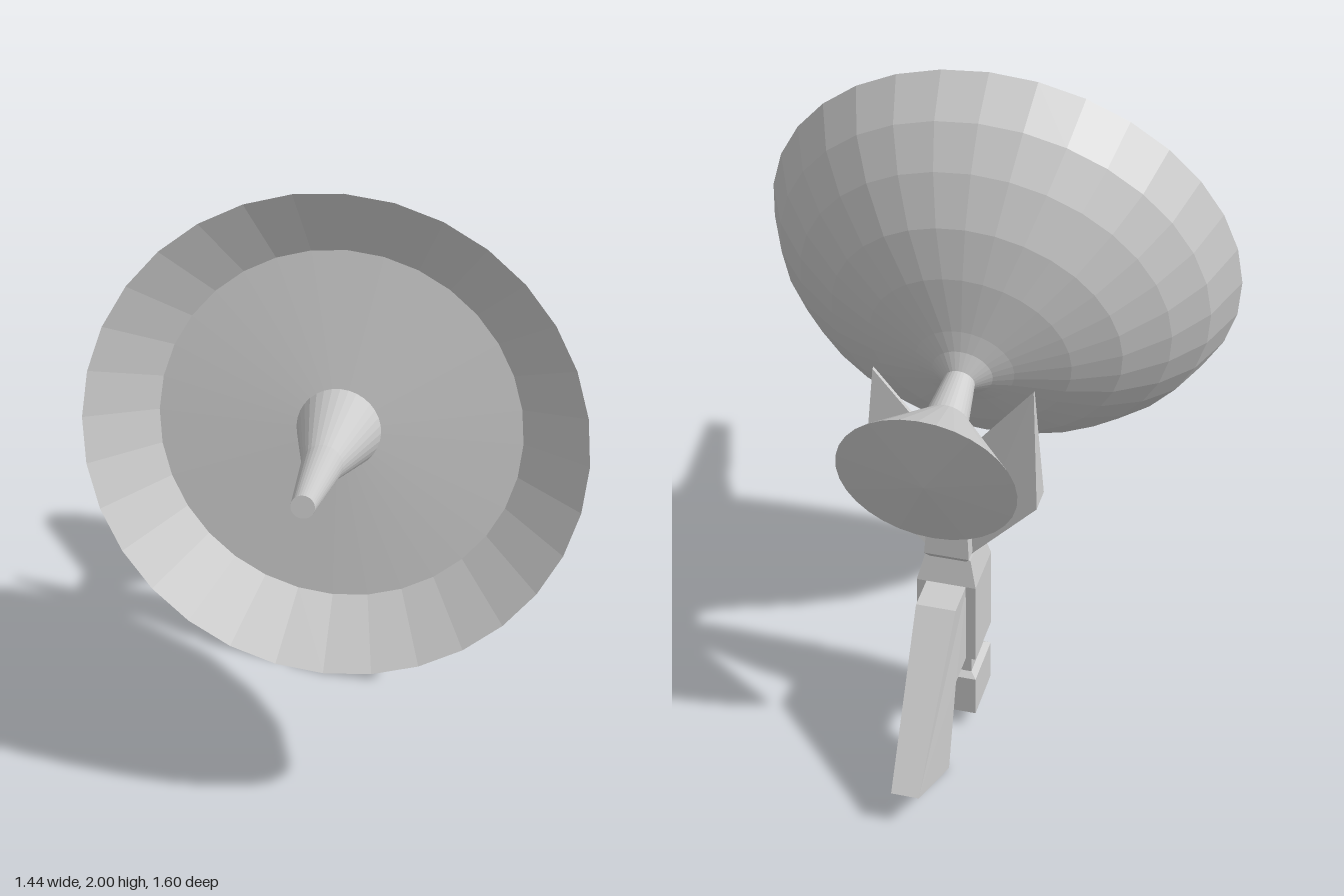
import * as THREE from 'three';

const material = new THREE.MeshStandardMaterial({ color: 0xcccccc, flatShading: true });
const POST_Z = -0.25;

function addMesh(parent, name, geometry) {
  const mesh = new THREE.Mesh(geometry, material);
  mesh.name = name;
  parent.add(mesh);
  return mesh;
}

// Turned part from [radius, height] pairs, listed so that faces point outward
function lathe(profile, sides = 32, phase = 0) {
  return new THREE.LatheGeometry(profile.map(([r, y]) => new THREE.Vector2(r, y)), sides, phase);
}

// Square stack from [half width, height] pairs
function squareStack(profile) {
  return lathe(profile.map(([h, y]) => [h * Math.SQRT2, y]), 4, Math.PI / 4);
}

// Moves every vertex of a geometry by a rule
function reshape(geometry, rule) {
  const p = geometry.attributes.position;
  const v = new THREE.Vector3();
  for (let i = 0; i < p.count; i++) {
    rule(v.fromBufferAttribute(p, i));
    p.setXYZ(i, v.x, v.y, v.z);
  }
  geometry.computeVertexNormals();
  return geometry;
}

// Slanted fork arm: a leaning plate that narrows to a ridge at the top
function armGeometry() {
  return reshape(new THREE.BoxGeometry(1, 1, 1), (v) => {
    const outer = v.x > 0;
    const top = v.y > 0;
    v.x = outer ? (top ? 0.237 : 0.26) : 0.05;
    v.y = outer ? (top ? 1.22 : 0.84) : (top ? 0.99 : 0.62);
    v.z = Math.sign(v.z) * (top ? 0.006 : 0.043);
  });
}

// Bent rear brace, extruded sideways and narrowed toward its tip
function braceGeometry() {
  const outline = [[-0.32, 0.27], [-0.453, 0.27], [-0.537, 0], [-0.8, 0.113], [-0.453, 0.545], [-0.32, 0.545]];
  const shape = new THREE.Shape(outline.map(([z, y]) => new THREE.Vector2(z, y)));
  const geometry = new THREE.ExtrudeGeometry(shape, { depth: 1, bevelEnabled: false });
  geometry.translate(0, 0, -0.5).rotateY(-Math.PI / 2);
  return reshape(geometry, (v) => {
    v.x = Math.sign(v.x) * (v.z < -0.7 ? 0.042 : 0.06);
  });
}

export function createModel() {
  const model = new THREE.Group();
  model.name = 'dishAntenna';

  // Square post with a groove and a chamfered shoulder
  const post = addMesh(model, 'post', squareStack([
    [0, 0.055], [0.09, 0.055], [0.09, 0.19], [0.072, 0.205], [0.072, 0.255],
    [0.09, 0.27], [0.09, 0.545], [0.069, 0.63], [0, 0.63],
  ]));
  post.position.z = POST_Z;

  // Tapered column between the fork arms
  const column = addMesh(model, 'column', squareStack([
    [0, 0.625], [0.07, 0.625], [0.085, 0.645], [0.052, 1.015], [0.04, 1.04], [0.03, 1.1], [0, 1.1],
  ]));
  column.position.z = POST_Z;
  column.scale.x = 0.8;

  // Fork arms, mirrored by a half turn
  ['leftArm', 'rightArm'].forEach((name, i) => {
    const arm = addMesh(model, name, armGeometry());
    arm.position.z = POST_Z;
    arm.rotation.y = i * Math.PI;
  });

  // Rear brace
  addMesh(model, 'rearBrace', braceGeometry());

  // Tilted head: local y is the dish axis, zero at the rim
  const head = new THREE.Group();
  head.name = 'head';
  head.position.set(0, 1.305, 0.33);
  head.rotation.x = THREE.MathUtils.degToRad(75);
  model.add(head);

  // Rounded back, rim, sloping inner band and shallow face
  addMesh(head, 'dish', lathe([
    [0.045, -0.53], [0.09, -0.495], [0.147, -0.469], [0.303, -0.413], [0.438, -0.345], [0.562, -0.247],
    [0.655, -0.14], [0.72, 0], [0.523, -0.123], [0.12, -0.1], [0, -0.1],
  ]));

  // Feed horn with a flat tip
  addMesh(head, 'feedHorn', lathe([[0.122, -0.103], [0.058, 0.175], [0.033, 0.482], [0, 0.482]]));

  // Rear neck flaring into a counterweight cone with a shallow cap
  addMesh(head, 'rearCone', lathe([[0, -0.925], [0.263, -0.9], [0.064, -0.673], [0.045, -0.525]]));

  return model;
}
